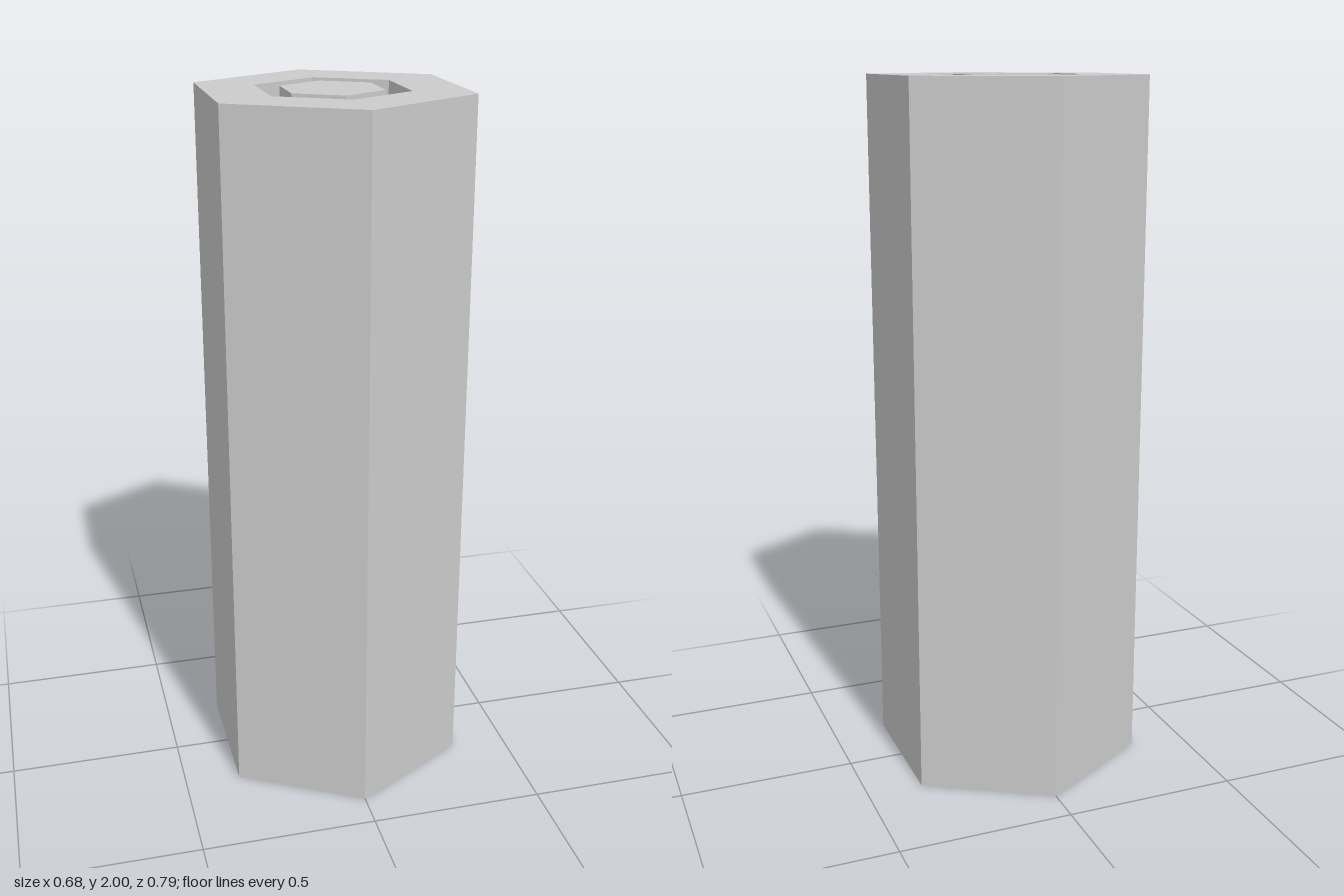
import * as THREE from 'three';

const HEIGHT = 2;
const FLOOR = 1.6; // bottom of the ring-shaped groove
const OUTER = 0.393, GROOVE = 0.219, CORE = 0.147;

export function createModel() {
  const model = new THREE.Group();
  model.name = 'hexagonalColumn';
  const material = new THREE.MeshStandardMaterial({ color: 0xcccccc, flatShading: true });

  // Six-sided turned part from [radius, height] pairs, corners on the z axis
  function hexPart(name, profile) {
    const points = profile.map(([r, y]) => new THREE.Vector2(r, y));
    const geometry = new THREE.LatheGeometry(points, 6).toNonIndexed();
    geometry.computeVertexNormals();
    const mesh = new THREE.Mesh(geometry, material);
    mesh.name = name;
    model.add(mesh);
  }

  // Outer body: closed base, sides, top rim, groove wall and groove floor
  hexPart('body', [[0, 0], [OUTER, 0], [OUTER, HEIGHT], [GROOVE, HEIGHT], [GROOVE, FLOOR], [CORE, FLOOR]]);

  // Central core, flush with the rim
  hexPart('core', [[CORE, FLOOR], [CORE, HEIGHT], [0, HEIGHT]]);

  return model;
}
